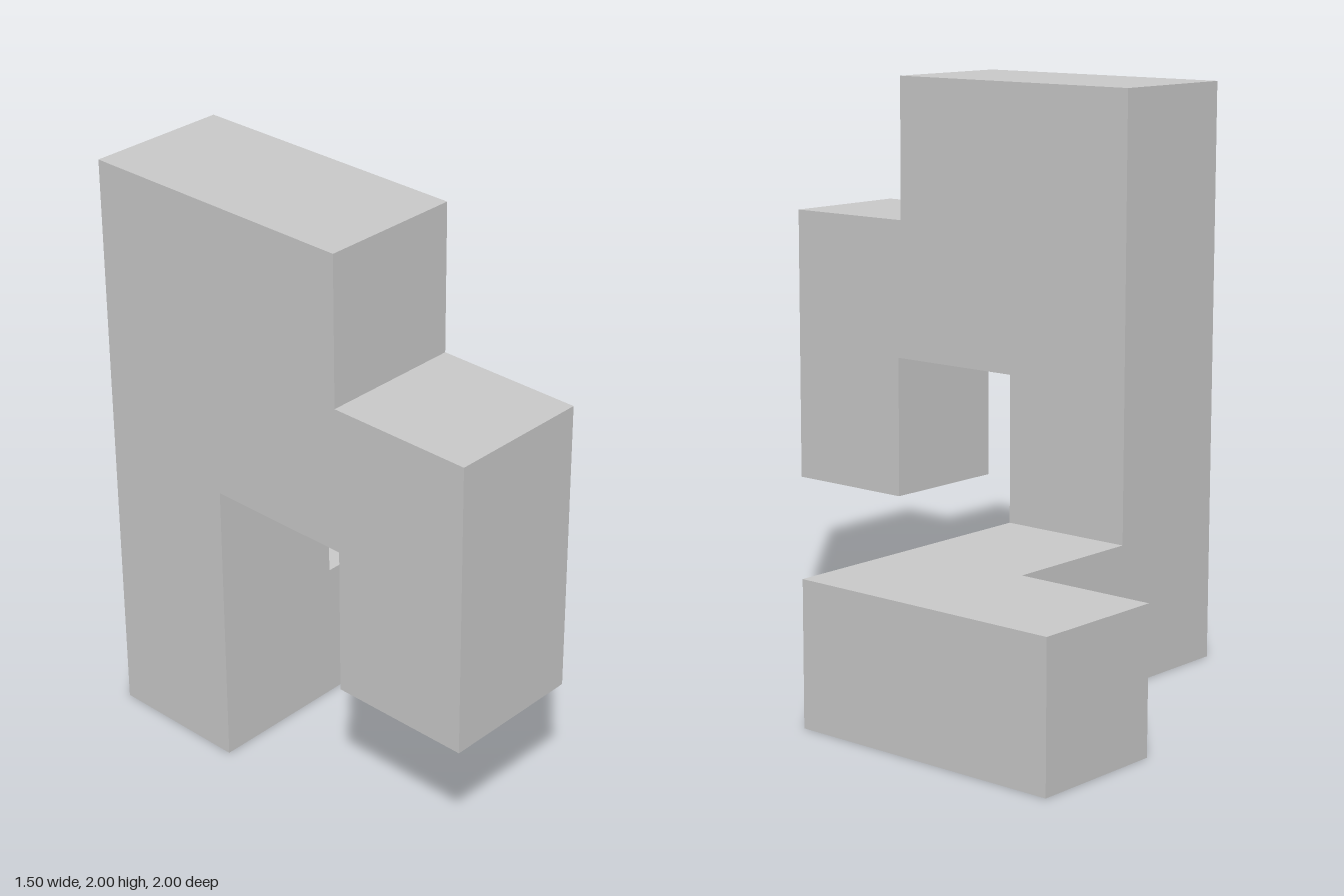
import * as THREE from 'three';

const material = new THREE.MeshStandardMaterial({ color: 0xcccccc, flatShading: true });
const THICK = 0.49;

// Extrudes a flat outline by one block thickness.
function slab(name, outline) {
  const shape = new THREE.Shape(outline.map(([u, v]) => new THREE.Vector2(u, v)));
  const geometry = new THREE.ExtrudeGeometry(shape, { depth: THICK, bevelEnabled: false });
  const mesh = new THREE.Mesh(geometry, material);
  mesh.name = name;
  return mesh;
}

export function createModel() {
  const group = new THREE.Group();
  group.name = 'blockPiece';

  // Upright wall: tall column, stepped top and hanging front leg, outlined in (z, y)
  const wall = slab('uprightWall', [
    [-0.497, 0], [-0.007, 0], [-0.007, 1.007], [0.51, 1.007], [0.51, 0.505],
    [1, 0.505], [1, 1.497], [0.497, 1.497], [0.497, 2], [-0.497, 2],
  ]);
  wall.geometry.rotateY(-Math.PI / 2).translate(-0.26, 0, 0);

  // Foot: low arm reaching sideways and turning to the back, outlined in (x, z)
  const foot = slab('foot', [
    [-0.26, -0.007], [-0.26, -0.497], [0.26, -0.497],
    [0.26, -1], [0.75, -1], [0.75, -0.007],
  ]);
  foot.geometry.rotateX(Math.PI / 2).translate(0, THICK, 0);

  group.add(wall, foot);
  return group;
}
